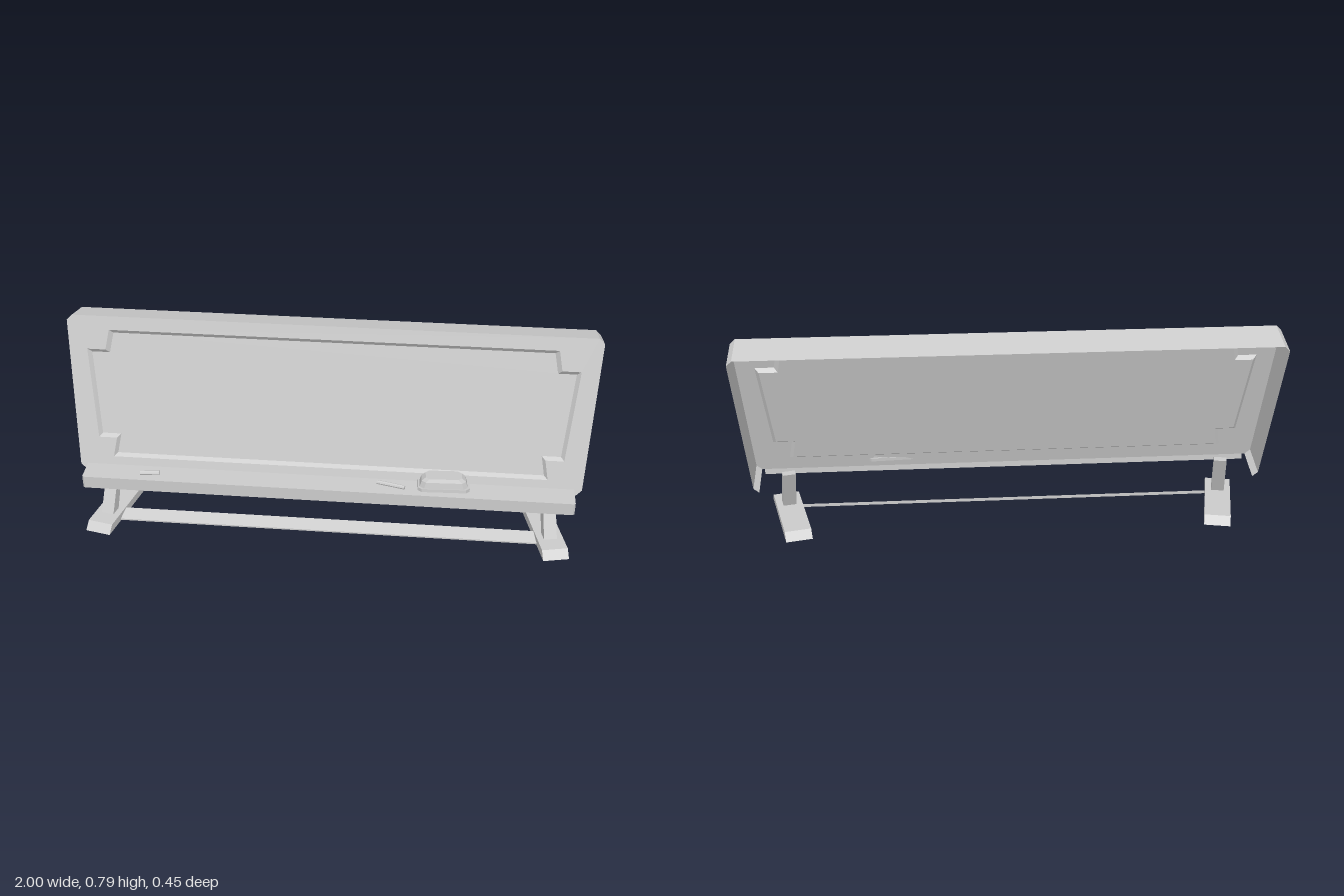
import * as THREE from 'three';

const solid = new THREE.MeshStandardMaterial({ color: 0xcccccc, flatShading: true });
const sheet = new THREE.MeshStandardMaterial({ color: 0xcccccc, flatShading: true, side: THREE.DoubleSide });

function add(parent, name, geometry, material = solid) {
  const mesh = new THREE.Mesh(geometry, material);
  mesh.name = name;
  parent.add(mesh);
  return mesh;
}

const toShape = (pts) => new THREE.Shape(pts.map(([x, y]) => new THREE.Vector2(x, y)));

// Right half of an outline, bottom to top, mirrored into a closed loop
const mirrorLoop = (half) => [...half, ...half.map(([x, y]) => [-x, y]).reverse()];

// Side profile given as [z, y], extruded along x and centred
function extrudeX(profile, width) {
  const geo = new THREE.ExtrudeGeometry(toShape(profile.map(([z, y]) => [-z, y])), { depth: width, bevelEnabled: false });
  return geo.translate(0, 0, -width / 2).rotateY(Math.PI / 2);
}

// Plan outline given as [x, z], extruded upwards from y
function extrudeY(outline, y, height, hole) {
  const flip = (pts) => toShape(pts.map(([x, z]) => [x, -z]));
  const shape = flip(outline);
  if (hole) shape.holes.push(flip(hole));
  return new THREE.ExtrudeGeometry(shape, { depth: height, bevelEnabled: false }).rotateX(-Math.PI / 2).translate(0, y, 0);
}

// Strip of quads joining two matching outlines at depths za and zb
function band(a, za, b, zb, closed) {
  const pos = [];
  const n = closed ? a.length : a.length - 1;
  for (let i = 0; i < n; i++) {
    const j = (i + 1) % a.length;
    const p = [...a[i], za], q = [...a[j], za], r = [...b[j], zb], s = [...b[i], zb];
    pos.push(...p, ...s, ...q, ...q, ...s, ...r);
  }
  const geo = new THREE.BufferGeometry();
  geo.setAttribute('position', new THREE.Float32BufferAttribute(pos, 3));
  geo.computeVertexNormals();
  return geo;
}

function createBoard() {
  const board = new THREE.Group();
  board.name = 'board';
  const outline = mirrorLoop([[0.945, 0], [0.965, 0.02], [1, 0.59], [0.98, 0.61]]);
  const rim = mirrorLoop([[0.834, 0.055], [0.82, 0.132], [0.89, 0.132], [0.925, 0.481], [0.855, 0.481], [0.84, 0.558]]);
  const inner = mirrorLoop([[0.82, 0.068], [0.806, 0.145], [0.878, 0.145], [0.91, 0.468], [0.841, 0.468], [0.826, 0.545]]);

  const face = toShape(outline);
  face.holes.push(toShape(rim));
  add(board, 'frontFrame', new THREE.ShapeGeometry(face), sheet);
  add(board, 'panelBevel', band(rim, 0, inner, -0.014, true), sheet);
  add(board, 'writingPanel', new THREE.ShapeGeometry(toShape(inner)).translate(0, 0, -0.014), sheet);
  // Side and top walls; the shell is open at the back and the bottom
  add(board, 'shellWalls', band(outline, 0, outline, -0.137, false), sheet);

  board.position.set(0, 0.198, 0.066);
  board.rotation.x = -0.258;
  return board;
}

function createTray() {
  const tray = new THREE.Group();
  tray.name = 'tray';
  const outline = [[-0.935, 0.068], [0.935, 0.068], [0.935, 0.157], [0.928, 0.163], [-0.928, 0.163], [-0.935, 0.157]];
  const groove = [[-0.9, 0.08], [0.9, 0.08], [0.9, 0.138], [-0.9, 0.138]];
  add(tray, 'trayBase', extrudeY(outline, 0.175, 0.044));
  add(tray, 'trayRim', extrudeY(outline, 0.219, 0.006, groove));
  return tray;
}

// Foot and leaning leg, toed outwards at the front
function createSupport(side) {
  const support = new THREE.Group();
  support.name = side > 0 ? 'leftSupport' : 'rightSupport';
  add(support, 'foot', extrudeX([[0.19, 0], [-0.19, 0], [-0.162, 0.03], [0.162, 0.03]], 0.1));
  add(support, 'leg', extrudeX([[0.1, 0.03], [0.054, 0.03], [-0.012, 0.192], [0.022, 0.192]], 0.05));
  support.position.set(side * 0.84, 0, 0.03);
  support.rotation.y = side * 0.22;
  return support;
}

function createEraser() {
  const eraser = new THREE.Group();
  eraser.name = 'eraser';
  // Rectangle with cut corners
  const plan = (w, d, c) => [[-w + c, -d], [w - c, -d], [w, -d + c], [w, d - c], [w - c, d], [-w + c, d], [-w, d - c], [-w, -d + c]];
  add(eraser, 'feltPad', extrudeY(plan(0.098, 0.045, 0.015), 0, 0.013));
  const low = plan(0.09, 0.041, 0.016), mid = plan(0.083, 0.039, 0.016), top = plan(0.068, 0.034, 0.014);
  const body = [band(low, -0.013, mid, -0.037, true), band(mid, -0.037, top, -0.05, true)];
  body.forEach((geo, i) => add(eraser, i ? 'gripBevel' : 'gripSide', geo.rotateX(Math.PI / 2), sheet));
  add(eraser, 'gripTop', extrudeY(top, 0.046, 0.004));
  eraser.position.set(0.443, 0.227, 0.1);
  eraser.rotation.set(-0.1, 0.05, 0);
  return eraser;
}

export function createModel() {
  const model = new THREE.Group();
  model.name = 'chalkboard';
  model.add(createBoard(), createTray(), createEraser());
  for (const side of [1, -1]) model.add(createSupport(side));

  // Sloping plate joining the feet
  add(model, 'crossBar', extrudeX([[0.128, 0.002], [0.128, 0.008], [0.078, 0.027], [0.078, 0.021]], 1.66));

  // Chalk sticks: x, z, length, turn
  for (const [x, z, length, turn] of [[0.245, 0.105, 0.11, -0.25], [-0.68, 0.115, 0.075, 0.12]]) {
    const chalk = add(model, 'chalk', new THREE.CylinderGeometry(0.008, 0.008, length, 8).rotateZ(Math.PI / 2));
    chalk.position.set(x, 0.227, z);
    chalk.rotation.y = turn;
  }
  return model;
}
